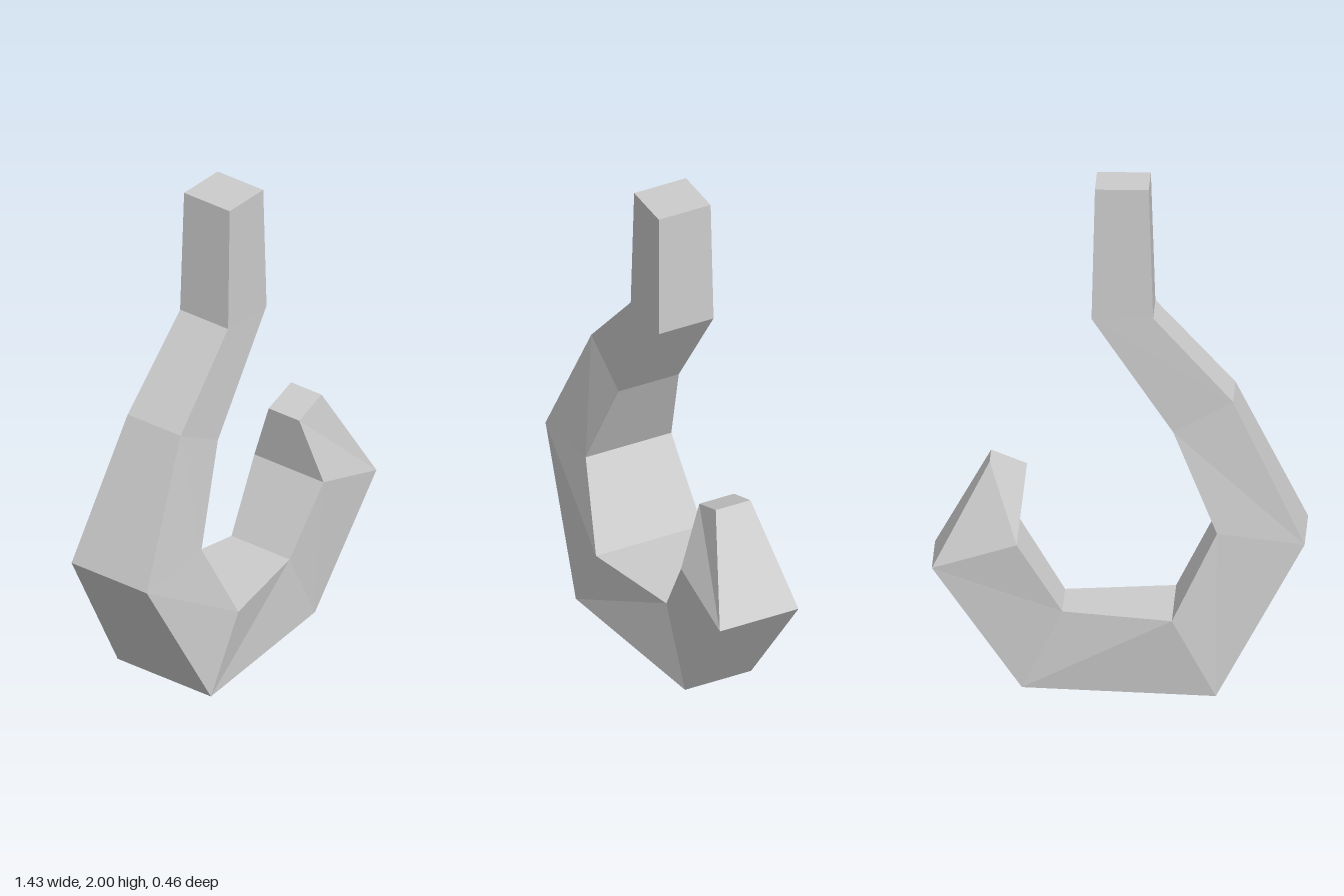
import * as THREE from 'three';

// Cross-sections from shank to tip: outer x, outer y, inner x, inner y, half depth
const sections = [
  [-0.115, 2.0, 0.092, 2.0, 0.112],
  [-0.132, 1.485, 0.105, 1.48, 0.118],
  [-0.44, 1.155, -0.21, 1.03, 0.13],
  [-0.717, 0.6, -0.38, 0.64, 0.185],
  [-0.377, 0, -0.208, 0.3, 0.229],
  [0.372, 0, 0.216, 0.307, 0.143],
  [0.717, 0.485, 0.391, 0.58, 0.17],
  [0.498, 0.887, 0.36, 0.834, 0.075],
];

// Sweeps a four-cornered tube through the sections and caps both ends
function loft(rows) {
  const positions = [];
  const indices = [];
  for (const [ox, oy, ix, iy, d] of rows) {
    positions.push(ox, oy, d, ix, iy, d, ix, iy, -d, ox, oy, -d);
  }
  for (let i = 0; i < rows.length - 1; i++) {
    for (let k = 0; k < 4; k++) {
      const a = i * 4 + k;
      const b = i * 4 + (k + 1) % 4;
      indices.push(a, a + 4, b + 4, a, b + 4, b);
    }
  }
  const e = (rows.length - 1) * 4;
  indices.push(0, 1, 2, 0, 2, 3, e, e + 2, e + 1, e, e + 3, e + 2);

  const geometry = new THREE.BufferGeometry();
  geometry.setAttribute('position', new THREE.Float32BufferAttribute(positions, 3));
  geometry.setIndex(indices);
  const faceted = geometry.toNonIndexed();
  faceted.computeVertexNormals();
  return faceted;
}

export function createModel() {
  const group = new THREE.Group();
  group.name = 'hook';
  const material = new THREE.MeshStandardMaterial({ color: 0xcccccc, flatShading: true });

  // Shank, bend and tip as one faceted bar
  const hookBody = new THREE.Mesh(loft(sections), material);
  hookBody.name = 'hookBody';
  group.add(hookBody);
  return group;
}
